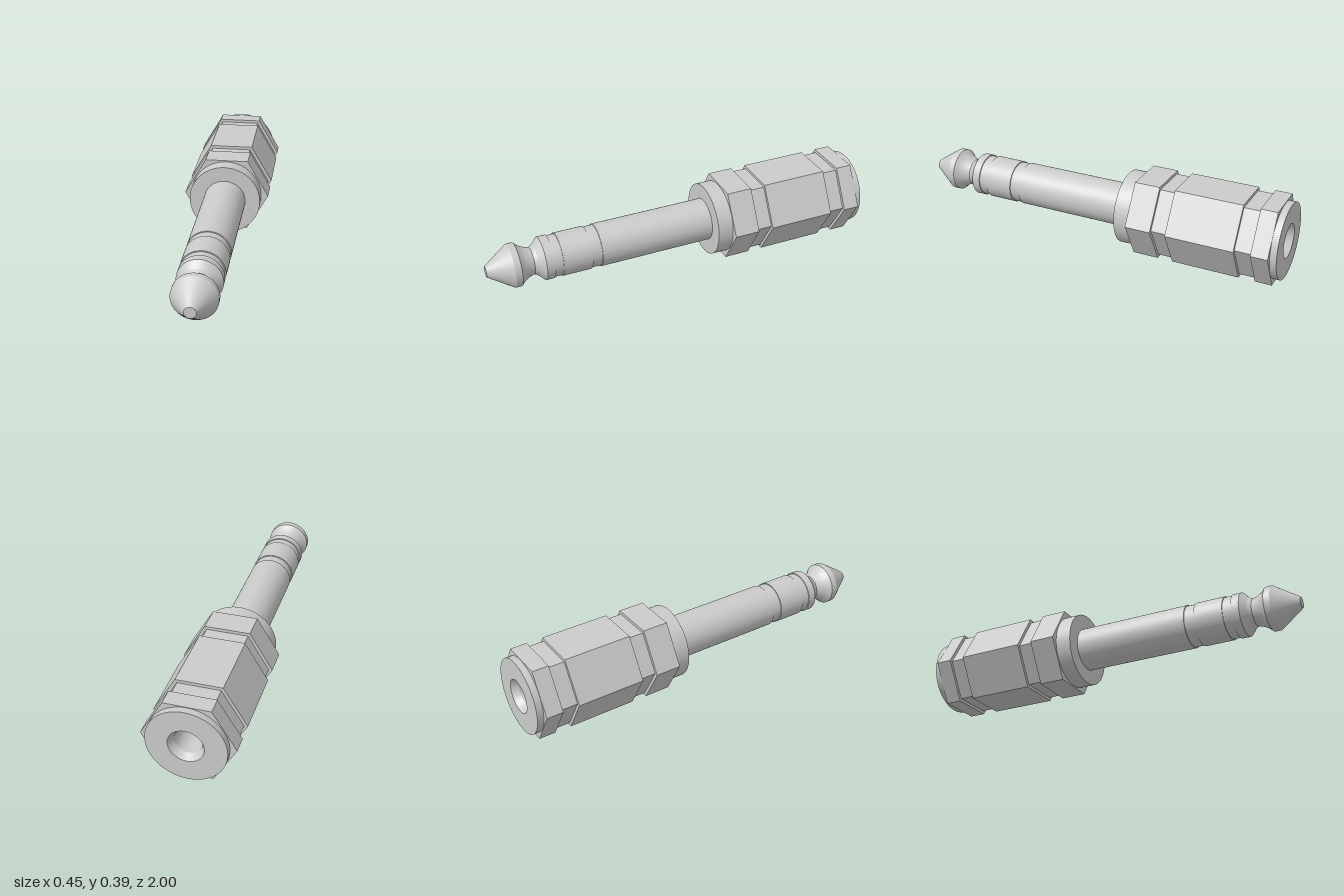
import * as THREE from 'three';
import { mergeGeometries } from 'three/addons/utils/BufferGeometryUtils.js';

const AXIS_Y = 0.195;

// Turned part along z: each run of [radius, z] points is smooth, runs meet at sharp edges.
function turned(runs, sides = 64) {
  const parts = runs.map(run =>
    new THREE.LatheGeometry(run.map(([r, z]) => new THREE.Vector2(r, z)), sides));
  return mergeGeometries(parts).rotateX(Math.PI / 2);
}

// Splits a profile into single straight runs, so every corner is sharp.
const sharp = points => points.slice(1).map((p, i) => [points[i], p]);

export function createModel() {
  const group = new THREE.Group();
  const material = new THREE.MeshStandardMaterial({ color: 0xcccccc });
  const add = (name, geometry) => {
    const mesh = new THREE.Mesh(geometry, material);
    mesh.name = name;
    mesh.position.y = AXIS_Y;
    group.add(mesh);
  };

  // Rear bushing with the chamfered socket bore
  add('socketBushing', turned(sharp([
    [0, -0.3], [0.066, -0.3], [0.066, -0.965], [0.086, -1],
    [0.192, -1], [0.192, -0.96],
  ])));

  // Hexagonal sleeve with two shallow grooves, flat faces top and bottom
  const hexProfile = [
    [0.15, -0.967], [0.225, -0.967], [0.225, -0.883], [0.207, -0.883],
    [0.207, -0.8], [0.225, -0.8], [0.225, -0.453], [0.207, -0.453],
    [0.207, -0.374], [0.225, -0.374], [0.225, -0.242], [0.15, -0.242],
  ].map(([r, z]) => new THREE.Vector2(r, z));
  const hex = new THREE.LatheGeometry(hexProfile, 6, Math.PI / 2)
    .rotateX(Math.PI / 2).toNonIndexed();
  hex.computeVertexNormals();
  add('hexSleeve', hex);

  // Round collar in front of the sleeve
  add('frontCollar', turned(sharp([
    [0.188, -0.245], [0.188, -0.162], [0.1, -0.162],
  ])));

  // Plug shaft with two insulating rings set slightly below the surface
  add('plugShaft', turned(sharp([
    [0.11, -0.165], [0.11, 0.435], [0.105, 0.435], [0.105, 0.487], [0.11, 0.487],
    [0.11, 0.636], [0.105, 0.636], [0.105, 0.679], [0.11, 0.679],
    [0.11, 0.721], [0.078, 0.752], [0.068, 0.77],
  ])));

  // Tip with a concave neck, a narrow rim and a blunt cone
  add('plugTip', turned([
    [[0.068, 0.77], [0.072, 0.786], [0.081, 0.808], [0.094, 0.828], [0.11, 0.844]],
    ...sharp([[0.11, 0.844], [0.11, 0.876], [0.028, 1], [0, 1]]),
  ]));

  return group;
}
